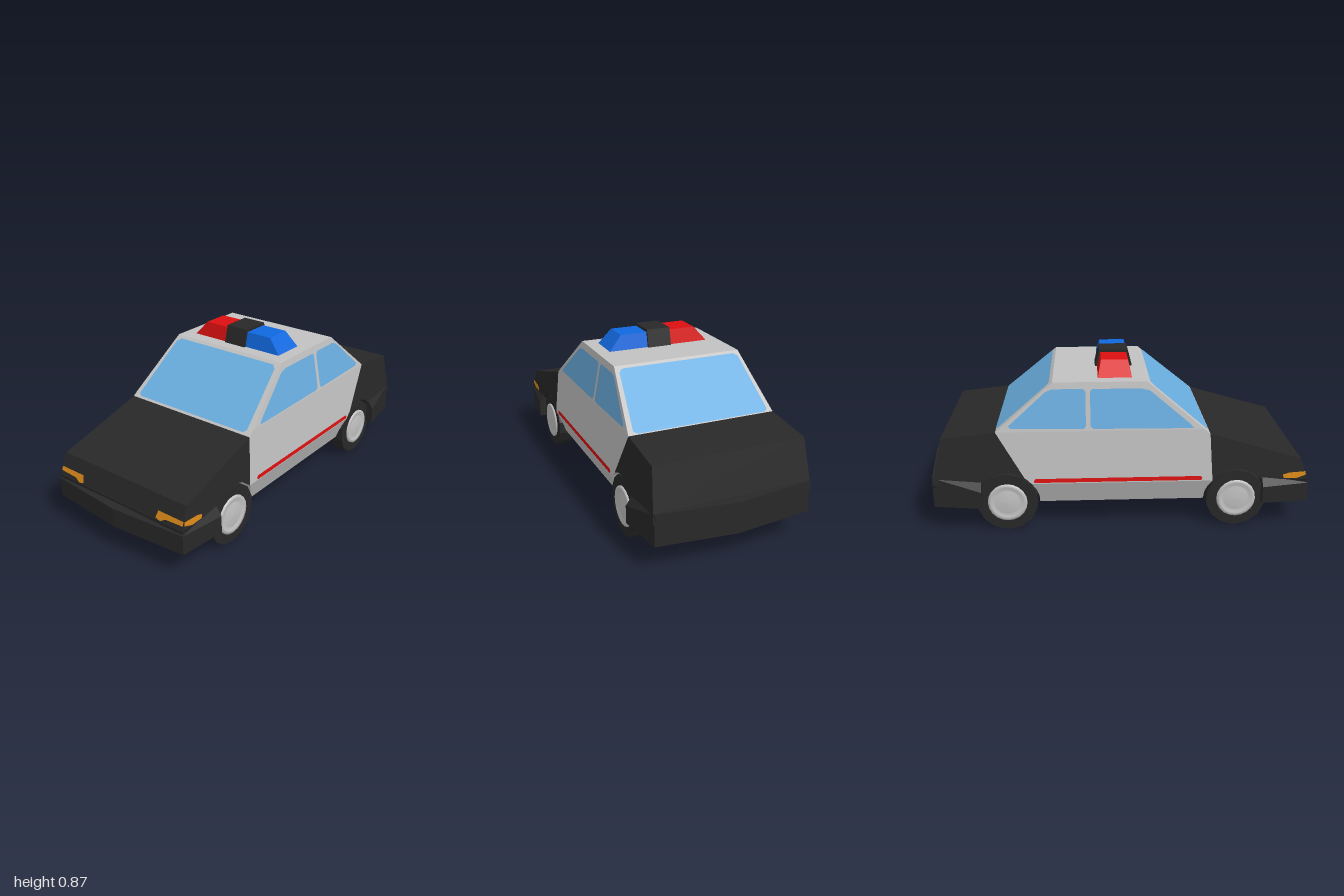
import * as THREE from 'three';
import { ConvexGeometry } from 'three/addons/geometries/ConvexGeometry.js';

const paint = (name, color) => {
  const m = new THREE.MeshStandardMaterial({ color });
  m.name = name;
  return m;
};

export function createModel() {
  const car = new THREE.Group();
  car.name = 'patrolCar';
  const black = paint('black', 0x282828);
  const grey = paint('lightGrey', 0xc2c2c2);
  const glass = paint('glassBlue', 0x6aaee0);
  const red = paint('red', 0xdc1010);
  const blue = paint('blue', 0x1068de);
  const orange = paint('orange', 0xdc8a18);

  const add = (name, geo, mat, parent = car) => {
    const m = new THREE.Mesh(geo, mat);
    m.name = name;
    parent.add(m);
    return m;
  };
  const toShape = pts => new THREE.Shape(pts.map(p => new THREE.Vector2(p[0], p[1])));

  // Half width of the body at each height
  const levels = [[0.14, 0.36], [0.26, 0.406], [0.535, 0.385], [0.777, 0.34]];
  const halfWidth = y => {
    let i = 0;
    while (i < 2 && y > levels[i + 1][0]) i++;
    const [y0, w0] = levels[i], [y1, w1] = levels[i + 1];
    return w0 + (w1 - w0) * (y - y0) / (y1 - y0);
  };

  // Side outline stretched across the car, following the body's taper
  const bodyPiece = (name, pts, mat) => {
    const g = new THREE.ExtrudeGeometry(toShape(pts), { depth: 1, bevelEnabled: false });
    const p = g.attributes.position;
    for (let i = 0; i < p.count; i++) p.setZ(i, (p.getZ(i) - 0.5) * 2 * halfWidth(p.getY(i)));
    g.computeVertexNormals();
    add(name, g, mat);
  };

  // Flat painted face, mapped onto a surface and turned to face outward
  const decal = (name, pts, mat, map, out) => {
    const g = new THREE.ShapeGeometry(toShape(pts));
    const p = g.attributes.position;
    for (let i = 0; i < p.count; i++) p.setXYZ(i, ...map(p.getX(i), p.getY(i)));
    g.computeVertexNormals();
    const n = new THREE.Vector3().fromBufferAttribute(g.attributes.normal, 0);
    if (n.dot(new THREE.Vector3(...out)) < 0) {
      g.index.array.reverse();
      g.computeVertexNormals();
    }
    add(name, g, mat);
  };
  const sideDecal = (name, pts, mat) => {
    for (const s of [1, -1])
      decal(name + (s > 0 ? 'Left' : 'Right'), pts, mat,
        (x, y) => [x, y, s * (halfWidth(y) + 0.004)], [0, 0, s]);
  };

  // Wheel arch points between two angles in degrees
  const axles = [-0.595, 0.583], axleY = 0.155, archR = 0.165;
  const arch = (cx, a0, a1, n = 6) => Array.from({ length: n + 1 }, (_, i) => {
    const a = THREE.MathUtils.degToRad(a0 + (a1 - a0) * i / n);
    return [cx + archR * Math.cos(a), axleY + archR * Math.sin(a)];
  });
  const low = -5.22, high = 39.53; // arch angles at y = 0.14 and y = 0.26
  const [fx, rx] = axles;

  // Body: sills, front end, cabin, rear end
  bodyPiece('frontSkirt', [[-0.96, 0.26], [-0.96, 0.14], ...arch(fx, 180 - low, 180 - high, 3)], black);
  bodyPiece('sill', [...arch(fx, high, low, 3), ...arch(rx, 180 - low, 180 - high, 3)], grey);
  bodyPiece('rearSkirt', [...arch(rx, high, low, 3), [0.955, 0.14], [0.955, 0.26]], black);
  bodyPiece('frontEnd', [[-0.957, 0.26], ...arch(fx, 180 - high, high, 8),
    [-0.45, 0.51], [-0.92, 0.37]], black);
  bodyPiece('doors', [...arch(fx, high, high, 1).slice(1), ...arch(rx, 180 - high, 124, 2),
    [0.628, 0.535], [-0.42, 0.535], [-0.45, 0.51]], grey);
  bodyPiece('rearEnd', [...arch(rx, 124, high, 7), [0.955, 0.26], [0.947, 0.3],
    [0.9, 0.505], [0.628, 0.535]], black);
  bodyPiece('cabin', [[-0.42, 0.535], [0.628, 0.535], [0.34, 0.777], [-0.13, 0.777]], grey);

  // Side windows and red stripe
  sideDecal('frontWindow', [[-0.365, 0.543], [0.138, 0.547], [0.153, 0.56], [0.153, 0.733],
    [0.142, 0.744], [-0.1, 0.744], [-0.145, 0.733], [-0.35, 0.563]], glass);
  sideDecal('rearWindow', [[0.176, 0.56], [0.188, 0.547], [0.55, 0.553], [0.563, 0.565],
    [0.375, 0.732], [0.34, 0.745], [0.19, 0.745], [0.176, 0.733]], glass);
  sideDecal('stripe', [[-0.41, 0.267], [0.44, 0.267], [0.445, 0.275], [0.435, 0.288],
    [-0.405, 0.288], [-0.415, 0.278]], red);

  // Windscreens: z across, t up the slope from a to b
  const screen = (name, a, b, dir) => {
    const outline = [[-0.34, 0.03], [0.34, 0.03], [0.357, 0.07], [0.325, 0.9], [0.305, 0.95],
      [-0.305, 0.95], [-0.325, 0.9], [-0.357, 0.07]];
    decal(name, outline, glass, (z, t) => [
      a[0] + (b[0] - a[0]) * t + dir * 0.003, a[1] + (b[1] - a[1]) * t + 0.003, z], [dir, 1, 0]);
  };
  screen('windscreen', [-0.45, 0.51], [-0.13, 0.777], -1);
  screen('rearScreen', [0.634, 0.53], [0.34, 0.777], 1);

  // Indicator lamps wrapping the front corners
  sideDecal('sideIndicator', [[-0.945, 0.303], [-0.86, 0.297], [-0.83, 0.287], [-0.835, 0.268],
    [-0.9, 0.266], [-0.95, 0.285]], orange);
  for (const s of [1, -1])
    decal('frontIndicator', [[0.24, 0.268], [0.27, 0.262], [0.3, 0.278], [0.402, 0.283],
      [0.402, 0.304], [0.25, 0.304]], orange,
    (z, y) => [-0.96 + (y - 0.25) * 0.33 - 0.005, y, s * z], [-1, 0, 0]);

  // Bumpers flaring out towards the wheels
  const hull = (name, pts, mat, parent) =>
    add(name, new ConvexGeometry(pts.map(p => new THREE.Vector3(...p))), mat, parent);
  const bumper = (name, dir, end, cornerX, cornerZ, topY) => {
    const pts = [[1, 0.14, 0], [1, topY, 0]];
    for (const s of [1, -1])
      pts.push([end, 0.14, s * 0.435], [end, 0.23, s * 0.435], [end, 0.28, s * 0.4],
        [cornerX, 0.14, s * cornerZ], [cornerX, topY, s * cornerZ]);
    hull(name, pts.map(([x, y, z]) => [x * dir, y, z]), black);
  };
  bumper('frontBumper', -1, 0.725, 0.965, 0.41, 0.24);
  bumper('rearBumper', 1, 0.71, 0.955, 0.4, 0.3);

  // Wheels with dished hubcaps
  const tyre = new THREE.CylinderGeometry(0.155, 0.155, 0.08, 14).toNonIndexed();
  tyre.computeVertexNormals();
  const cap = new THREE.LatheGeometry([[0.103, -0.01], [0.1, 0.008], [0.085, 0.008],
    [0.075, 0.003], [0.06, 0.003], [0.05, 0.007], [0, 0.009]]
    .map(p => new THREE.Vector2(...p)), 20);
  axles.forEach((x, i) => {
    for (const s of [1, -1]) {
      const wheel = new THREE.Group();
      wheel.name = (i ? 'rear' : 'front') + (s > 0 ? 'LeftWheel' : 'RightWheel');
      wheel.position.set(x, axleY, s * 0.355);
      wheel.rotation.x = s * Math.PI / 2;
      add('tyre', tyre, black, wheel);
      add('hubcap', cap, grey, wheel).position.y = 0.04;
      car.add(wheel);
    }
  });

  // Roof light bar: tapered blocks given base and top extents in x and z
  const block = (name, y1, base, top, mat) => {
    const pts = [];
    for (const [y, [x0, x1, z0, z1]] of [[0.776, base], [y1, top]])
      for (const x of [x0, x1]) for (const z of [z0, z1]) pts.push([x, y, z]);
    hull(name, pts, mat);
  };
  block('lightBarCentre', 0.867, [-0.072, 0.124, -0.064, 0.064], [-0.048, 0.102, -0.064, 0.064], black);
  block('blueLight', 0.853, [-0.06, 0.113, 0.05, 0.275], [-0.042, 0.095, 0.05, 0.208], blue);
  block('redLight', 0.853, [-0.06, 0.113, -0.275, -0.05], [-0.042, 0.095, -0.208, -0.05], red);

  return car;
}
